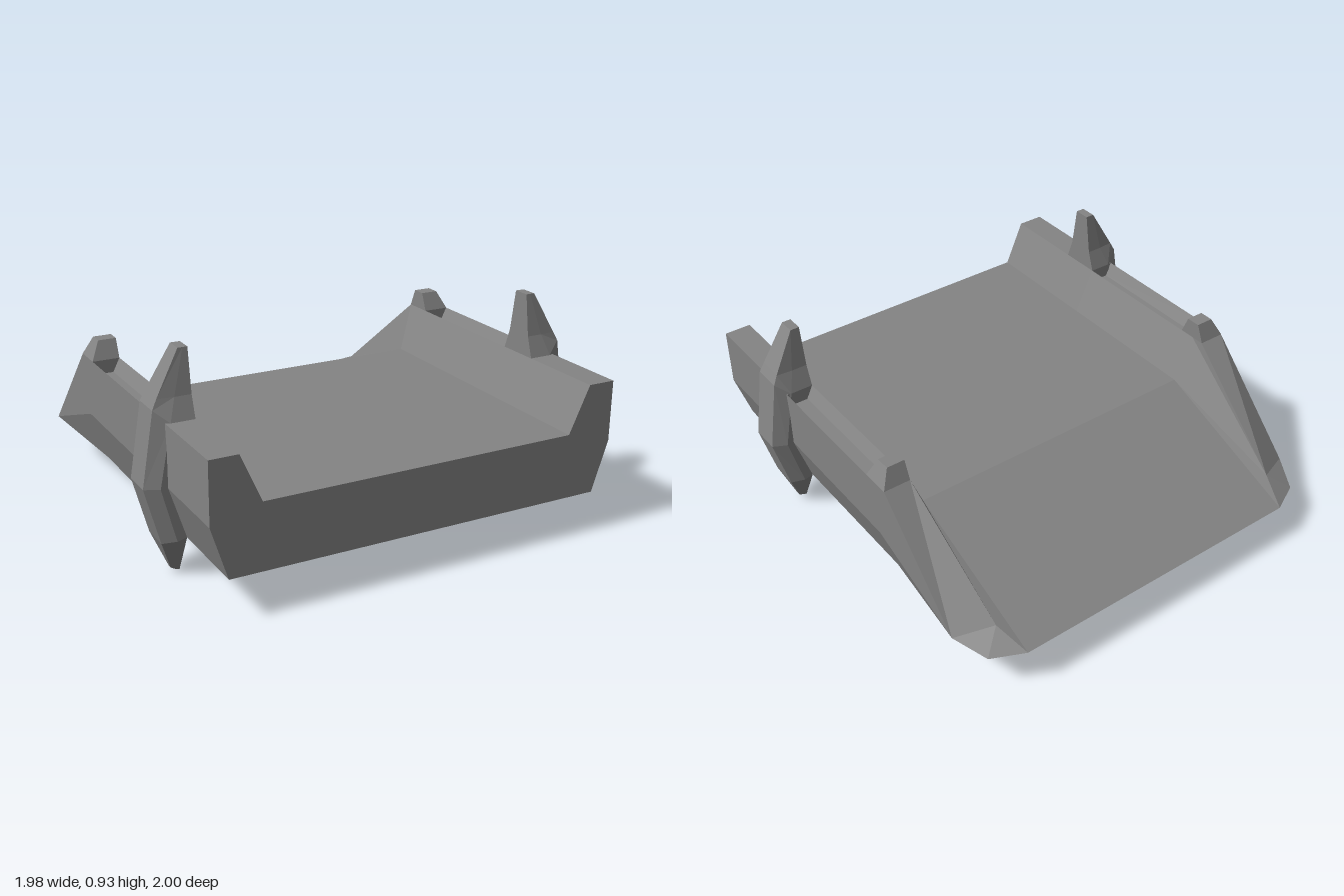
import * as THREE from 'three';

const material = new THREE.MeshStandardMaterial({ color: 0x848484, flatShading: true });

// Flat-faced mesh from convex polygons, corners counter-clockwise from outside
function polyMesh(name, polys) {
  const pos = [];
  for (const p of polys)
    for (let i = 1; i < p.length - 1; i++) pos.push(...p[0], ...p[i], ...p[i + 1]);
  const g = new THREE.BufferGeometry();
  g.setAttribute('position', new THREE.Float32BufferAttribute(pos, 3));
  g.computeVertexNormals();
  const mesh = new THREE.Mesh(g, material);
  mesh.name = name;
  return mesh;
}

const flip = ([x, y, z]) => [-x, y, z];
const mirror = polys => polys.map(p => p.map(flip).reverse());

// Skin a stack of rings from top to bottom, with end caps
function loft(rings) {
  const polys = [rings[0], [...rings[rings.length - 1]].reverse()];
  for (let k = 0; k < rings.length - 1; k++) {
    const a = rings[k], b = rings[k + 1];
    a.forEach((_, i) => {
      const j = (i + 1) % a.length;
      polys.push([a[i], b[i], b[j]], [a[i], b[j], a[j]]);
    });
  }
  return polys;
}

// Stretch of the trough between two depths; wallTop lists the points along the top of one wall
function bedSection(name, wallTop, z0, z1) {
  const half = [[0.83, 0.18], [0.9, 0.4], ...wallTop, [0.69, 0.46]];
  const outline = [...half, ...half.map(([x, y]) => [-x, y]).reverse()];
  const shape = new THREE.Shape(outline.map(p => new THREE.Vector2(...p)));
  const g = new THREE.ExtrudeGeometry(shape, { depth: z1 - z0, bevelEnabled: false });
  g.translate(0, 0, z0);
  const mesh = new THREE.Mesh(g, material);
  mesh.name = name;
  return mesh;
}

// Wedge-shaped end: floor ramp, tapering side walls and clipped corners
function rampPolys() {
  const z = -0.29;
  const A = [0.69, 0.46, z], B = [0.78, 0.66, z], C = [0.9, 0.66, z];
  const D = [0.9, 0.4, z], E = [0.83, 0.18, z];
  const B2 = [0.78, 0.66, -0.35], C2 = [0.9, 0.66, -0.35];
  const F = [0.74, 0.25, -0.86], G = [0.9, 0.22, -0.79];
  const H = [0.83, 0.18, -0.93], I = [0.69, 0.185, -1];
  const half = [
    [A, B, B2, F],            // inner wall
    [B, C, C2, B2],           // wall top
    [B2, C2, G, F],           // sloping wall top
    [F, G, H], [F, H, I],     // clipped corner
    [A, F, I],                // floor beside the wall
    [C, D, G, C2],            // outer side
    [D, E, G], [E, H, G],     // lower side
  ];
  return [
    ...half, ...mirror(half),
    [A, I, flip(I), flip(A)],                     // floor ramp
    [E, flip(E), flip(H), flip(I), I, H],         // underside
  ];
}

// Side rib: each station holds inner, middle and outer [x, y, half width]
function ribPolys() {
  const stations = [
    [[0.78, 0.93, 0.037], [0.8, 0.93, 0.037], [0.82, 0.93, 0.037]],
    [[0.78, 0.75, 0.064], [0.85, 0.75, 0.064], [0.92, 0.75, 0.058]],
    [[0.78, 0.66, 0.095], [0.88, 0.66, 0.095], [0.94, 0.71, 0.065]],
    [[0.85, 0.4, 0.095], [0.93, 0.4, 0.095], [0.99, 0.4, 0.065]],
    [[0.83, 0.18, 0.095], [0.87, 0.17, 0.095], [0.925, 0.16, 0.065]],
    [[0.83, 0, 0.003], [0.845, 0.005, 0.005], [0.87, 0.02, 0.01]],
  ];
  const zc = 0.517;
  return loft(stations.map(s => [
    ...s.map(([x, y, w]) => [x, y, zc + w]),
    ...[...s].reverse().map(([x, y, w]) => [x, y, zc - w]),
  ]));
}

// Small tapered knob on the wall top
function knobPolys() {
  const ring = (y, x1, w) => [
    [0.78, y, -0.285 + w], [x1, y, -0.285 + w], [x1, y, -0.285 - w], [0.78, y, -0.285 - w],
  ];
  return loft([ring(0.74, 0.86, 0.032), ring(0.66, 0.9, 0.066)]);
}

export function createModel() {
  const model = new THREE.Group();
  model.name = 'openBed';

  // Trough, with a groove along each wall top between rib and knob
  const flat = [[0.9, 0.66], [0.78, 0.66]];
  const grooved = [[0.9, 0.66], [0.87, 0.6], [0.81, 0.6], [0.78, 0.66]];
  model.add(bedSection('bedFront', flat, 0.425, 1));
  model.add(bedSection('bedMiddle', grooved, -0.22, 0.425));
  model.add(bedSection('bedRear', flat, -0.29, -0.22));
  model.add(polyMesh('ramp', rampPolys()));

  // Fittings on both walls
  for (const [side, place] of [['left', p => p], ['right', mirror]]) {
    model.add(polyMesh(side + 'Rib', place(ribPolys())));
    model.add(polyMesh(side + 'Knob', place(knobPolys())));
  }
  return model;
}
